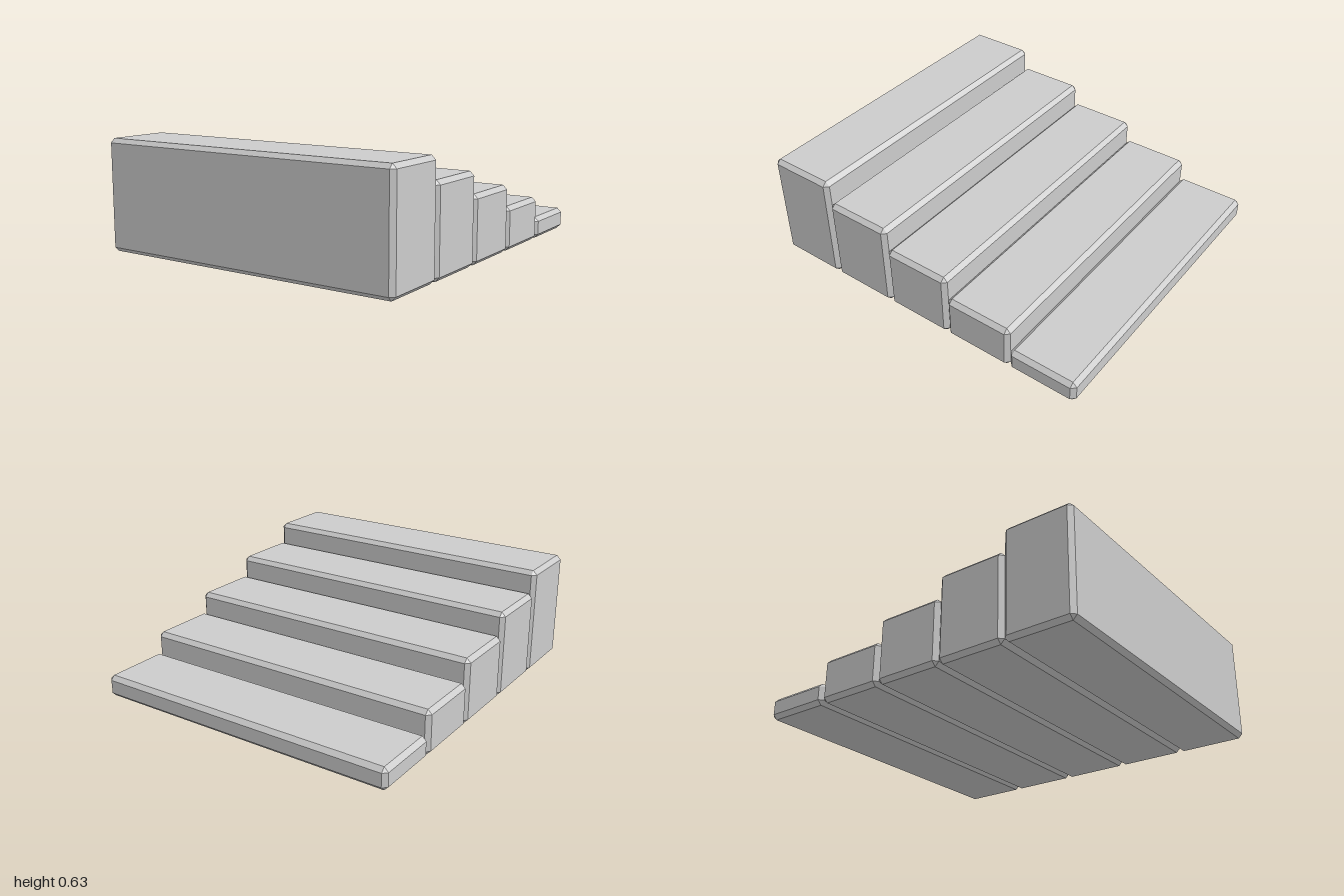
import * as THREE from 'three';
import { ConvexGeometry } from 'three/addons/geometries/ConvexGeometry.js';

const WIDTH = 1.82, DEPTH = 0.4, RISE = 0.1255, BEVEL = 0.024, STEPS = 5;

// Box with every edge chamfered: each corner becomes three points
function chamferedBox(w, h, d, b) {
  const points = [];
  for (const sx of [-1, 1]) for (const sy of [-1, 1]) for (const sz of [-1, 1]) {
    const x = w / 2, y = h / 2, z = d / 2;
    points.push(
      new THREE.Vector3(sx * x, sy * (y - b), sz * (z - b)),
      new THREE.Vector3(sx * (x - b), sy * y, sz * (z - b)),
      new THREE.Vector3(sx * (x - b), sy * (y - b), sz * z)
    );
  }
  return new ConvexGeometry(points);
}

export function createModel() {
  const model = new THREE.Group();
  model.name = 'staircase';
  const material = new THREE.MeshStandardMaterial({ color: 0xcccccc, flatShading: true });

  // Solid blocks side by side, lowest at the back, tallest at the front
  for (let i = 0; i < STEPS; i++) {
    const height = RISE * (i + 1);
    const step = new THREE.Mesh(chamferedBox(WIDTH, height, DEPTH, BEVEL), material);
    step.name = `step${i + 1}`;
    step.position.set(0, height / 2, (i - (STEPS - 1) / 2) * DEPTH);
    model.add(step);
  }
  return model;
}
